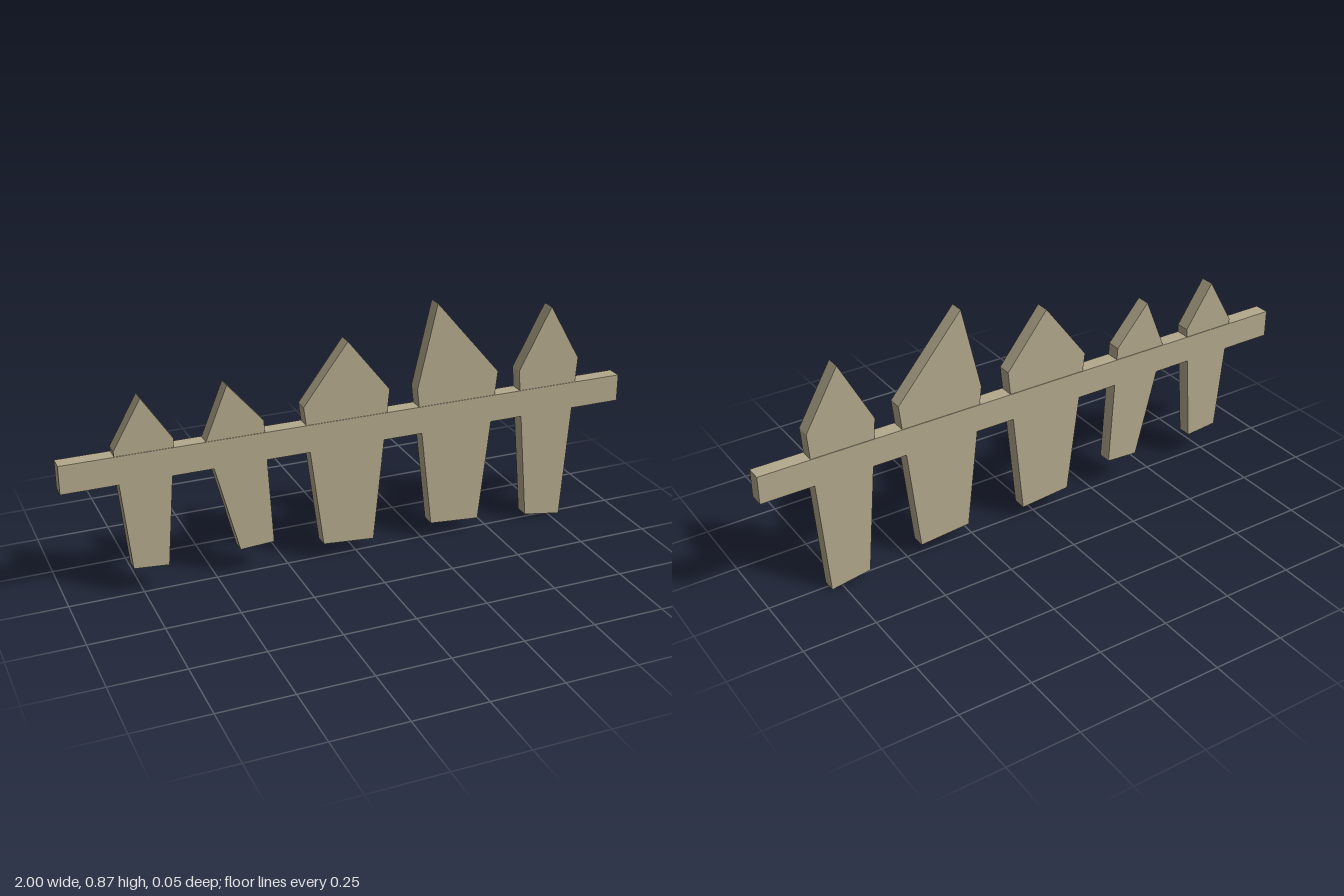
import * as THREE from 'three';

// Outlines: bottom left, bottom right, right shoulder, tip, left shoulder
const PICKETS = [
  [[-0.785, 0.105], [-0.667, 0.095], [-0.63, 0.537], [-0.73, 0.69], [-0.825, 0.525]],
  [[-0.423, 0.1], [-0.305, 0.107], [-0.33, 0.55], [-0.45, 0.69], [-0.527, 0.505]],
  [[-0.127, 0.06], [0.056, 0.045], [0.112, 0.59], [-0.037, 0.778], [-0.193, 0.572]],
  [[0.275, 0.06], [0.457, 0.045], [0.516, 0.593], [0.283, 0.865], [0.214, 0.572]],
  [[0.65, 0.022], [0.789, 0], [0.83, 0.597], [0.714, 0.798], [0.599, 0.58]],
];

export function createModel() {
  const model = new THREE.Group();
  model.name = 'picketFence';
  const wood = new THREE.MeshStandardMaterial({ name: 'weatheredWood', color: 0xb3a98c });

  // Crooked pointed boards
  const thickness = 0.049;
  PICKETS.forEach((outline, i) => {
    const shape = new THREE.Shape(outline.map(([x, y]) => new THREE.Vector2(x, y)));
    const geometry = new THREE.ExtrudeGeometry(shape, { depth: thickness, bevelEnabled: false });
    geometry.translate(0, 0, -thickness / 2);
    const picket = new THREE.Mesh(geometry, wood);
    picket.name = `picket${i + 1}`;
    model.add(picket);
  });

  // Horizontal rail, slightly thicker than the boards
  const rail = new THREE.Mesh(new THREE.BoxGeometry(2, 0.097, 0.053), wood);
  rail.name = 'rail';
  rail.position.y = 0.459;
  model.add(rail);

  return model;
}
